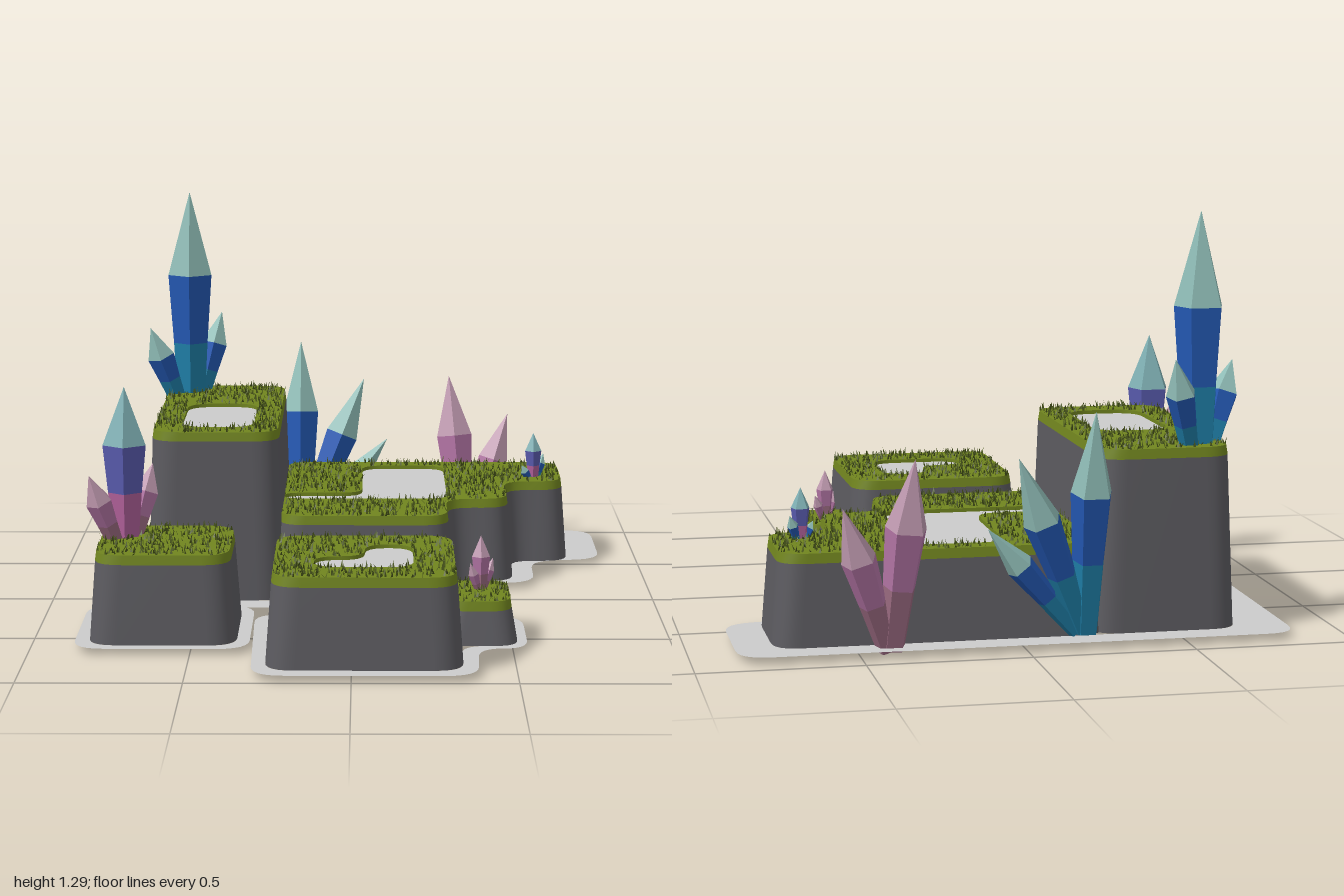
import * as THREE from 'three';

const mat = (color, extra = {}) => new THREE.MeshStandardMaterial({ color, side: THREE.DoubleSide, ...extra });
const ROCK = mat(0x5c5b60), GRASS = mat(0x71851f), BLADE = mat(0x4c5a1c), GREY = mat(0xcccccc);
const BLUE = [0x1f7fa8, 0x2459b4, 0x8fbcb6];
const PINK = [0x9a6a80, 0xb274a4, 0xc09ab0];
const MIXED = [0xb0609a, 0x5a5cb0, 0x7fb0b4];
const GROUND = 0.02;

let seed = 7;
const rnd = () => (seed = (seed * 16807) % 2147483647) / 2147483647;

const rect = (x0, z0, x1, z1) => [[x0, z0], [x1, z0], [x1, z1], [x0, z1]];

// Moves every corner of an outline inwards by d
function inset(c, d) {
  const n = c.length;
  return c.map(([x, z], i) => {
    const a = c[(i + n - 1) % n], b = c[(i + 1) % n];
    const l1 = Math.hypot(x - a[0], z - a[1]), l2 = Math.hypot(b[0] - x, b[1] - z);
    const n1 = [-(z - a[1]) / l1, (x - a[0]) / l1], n2 = [-(b[1] - z) / l2, (b[0] - x) / l2];
    const k = d / (1 + n1[0] * n2[0] + n1[1] * n2[1]);
    return [x + (n1[0] + n2[0]) * k, z + (n1[1] + n2[1]) * k];
  });
}

// Rounds the corners of an outline with short curves
function rounded(c, r, steps = 6) {
  const out = [], n = c.length;
  c.forEach((p, i) => {
    const P = new THREE.Vector2(...p);
    const toward = q => {
      const v = new THREE.Vector2(...q).sub(P);
      return P.clone().addScaledVector(v.clone().normalize(), Math.min(r, v.length() * 0.49));
    };
    const curve = new THREE.QuadraticBezierCurve(toward(c[(i + n - 1) % n]), P, toward(c[(i + 1) % n]));
    curve.getPoints(steps).forEach(q => out.push([q.x, q.y]));
  });
  return out;
}

// Flat sheet at height y, with optional holes
function sheet(outline, holes, y) {
  const v = pts => pts.map(([x, z]) => new THREE.Vector2(x, -z));
  const shape = new THREE.Shape(v(outline));
  holes.forEach(h => shape.holes.push(new THREE.Path(v(h))));
  return new THREE.ShapeGeometry(shape).rotateX(-Math.PI / 2).translate(0, y, 0);
}

// Wall between two outlines with equal point counts
function wall(low, y0, high, y1) {
  const pos = [], idx = [], n = low.length;
  for (let i = 0; i < n; i++) {
    pos.push(low[i][0], y0, low[i][1], high[i][0], y1, high[i][1]);
    const a = 2 * i, b = 2 * ((i + 1) % n);
    idx.push(a, a + 1, b, b, a + 1, b + 1);
  }
  const g = new THREE.BufferGeometry();
  g.setAttribute('position', new THREE.Float32BufferAttribute(pos, 3));
  g.setIndex(idx);
  g.computeVertexNormals();
  return g;
}

function inside(x, z, poly) {
  let hit = false;
  poly.forEach(([ax, az], i) => {
    const [bx, bz] = poly[(i + 1) % poly.length];
    if ((az > z) !== (bz > z) && x < ((bx - ax) * (z - az)) / (bz - az) + ax) hit = !hit;
  });
  return hit;
}

// Small leaning triangular blades scattered over the grass
function blades(outline, holes, y) {
  const xs = outline.map(p => p[0]), zs = outline.map(p => p[1]);
  const x0 = Math.min(...xs), z0 = Math.min(...zs);
  const w = Math.max(...xs) - x0, d = Math.max(...zs) - z0, pos = [];
  for (let i = 0; i < w * d * 2600; i++) {
    const x = x0 + rnd() * w, z = z0 + rnd() * d, t = rnd() * Math.PI * 2;
    const h = 0.01 + rnd() * 0.015, lean = rnd() * 0.012;
    if (!inside(x, z, outline) || holes.some(o => inside(x, z, o))) continue;
    const c = Math.cos(t) * 0.004, s = Math.sin(t) * 0.004;
    pos.push(x - c, y, z - s, x + c, y, z + s, x - s / 0.004 * lean, y + h, z + c / 0.004 * lean);
  }
  const g = new THREE.BufferGeometry();
  g.setAttribute('position', new THREE.Float32BufferAttribute(pos, 3));
  g.computeVertexNormals();
  return g;
}

function add(group, name, geometry, material) {
  const m = new THREE.Mesh(geometry, material);
  m.name = name;
  group.add(m);
}

// Hollow tapered rock with a grass cap and an optional sunken pool
function rock(name, corners, top, r, pool, poolR) {
  const g = new THREE.Group();
  g.name = name;
  const base = rounded(corners, r), mid = rounded(inset(corners, 0.018), r), cap = rounded(inset(corners, 0.022), r);
  const holes = pool ? [rounded(pool, poolR)] : [];
  add(g, 'rockWall', wall(base, GROUND, mid, top - 0.03), ROCK);
  add(g, 'grassEdge', wall(mid, top - 0.03, cap, top), GRASS);
  add(g, 'grassTop', sheet(cap, holes, top), GRASS);
  add(g, 'grassBlades', blades(cap, holes, top), BLADE);
  if (pool) {
    add(g, 'poolEdge', wall(holes[0], top - 0.012, holes[0], top), GRASS);
    add(g, 'poolSurface', sheet(holes[0], [], top - 0.012), GREY);
  }
  return g;
}

// Five-sided crystal from base to tip: flaring shaft in two bands and a pointed end
function crystal(base, tip, r, colors) {
  const g = new THREE.Group();
  g.name = 'crystal';
  const dir = new THREE.Vector3(...tip).sub(new THREE.Vector3(...base)), L = dir.length();
  const bands = [[[0, 0], [r * 0.6, 0.02 * L], [r * 0.78, 0.34 * L]],
    [[r * 0.78, 0.34 * L], [r, 0.64 * L]], [[r, 0.64 * L], [0, L]]];
  bands.forEach((b, i) => {
    const geo = new THREE.LatheGeometry(b.map(p => new THREE.Vector2(...p)), 5);
    add(g, ['crystalBase', 'crystalShaft', 'crystalTip'][i], geo, mat(colors[i], { flatShading: true }));
  });
  g.position.set(...base);
  g.quaternion.setFromUnitVectors(new THREE.Vector3(0, 1, 0), dir.normalize());
  return g;
}

function cluster(name, colors, list) {
  const g = new THREE.Group();
  g.name = name;
  list.forEach(([base, tip, r, c]) => g.add(crystal(base, tip, r, c || colors)));
  return g;
}

export function createModel() {
  const model = new THREE.Group();
  model.name = 'crystalIslands';

  // Rock outlines at ground level
  const high = rect(-0.68, -0.845, -0.225, 0.1);
  const low = [[-0.26, -0.845], [0.75, -0.845], [0.75, -0.46], [0.545, -0.46],
    [0.545, -0.17], [0.335, -0.17], [0.335, 0.1], [-0.26, 0.1]];
  const whole = [[-0.68, -0.845], ...low.slice(1, 7), [-0.68, 0.1]];
  const side = rect(-0.818, 0.2, -0.358, 0.66);
  const centre = rect(-0.26, 0.338, 0.338, 0.94);
  const step = rect(0.27, 0.345, 0.515, 0.66);
  const pair = [[-0.26, 0.338], [0.515, 0.338], [0.515, 0.66], [0.338, 0.66], [0.338, 0.94], [-0.26, 0.94]];

  model.add(
    rock('highRock', high, 0.58, 0.09, rect(-0.57, -0.455, -0.33, -0.015), 0.09),
    rock('lowRock', low, 0.3, 0.085, [[0.03, -0.755], [0.32, -0.755], [0.32, -0.195],
      [-0.236, -0.195], [-0.236, -0.29], [0.03, -0.29]], 0.07),
    rock('sideRock', side, 0.3, 0.09),
    rock('centreRock', centre, 0.3, 0.09, [[0.04, 0.485], [0.19, 0.485], [0.19, 0.785],
      [-0.115, 0.785], [-0.115, 0.645], [0.04, 0.645]], 0.08),
    rock('stepRock', step, 0.155, 0.07));

  // Flat shore rings around the rocks
  const shores = [
    [[[-0.838, -0.938], [0.865, -0.938], [0.865, -0.487], [0.62, -0.46], [0.615, -0.15],
      [0.4, -0.13], [0.36, 0.195], [-0.838, 0.195]], whole],
    [rect(-0.862, 0.172, -0.318, 0.7), side],
    [[[-0.315, 0.28], [0.36, 0.28], [0.545, 0.31], [0.545, 0.69], [0.39, 0.69], [0.38, 0.995], [-0.3, 0.995]], pair]];
  shores.forEach(([outer, inner], i) =>
    add(model, 'shore' + (i + 1), sheet(rounded(outer, 0.1), [rounded(inner, 0.085)], GROUND), GREY));

  // Crystals
  model.add(
    cluster('tallCrystals', BLUE, [
      [[-0.58, 0.48, -0.72], [-0.58, 1.29, -0.72], 0.08],
      [[-0.62, 0.54, -0.69], [-0.715, 0.82, -0.62], 0.05],
      [[-0.55, 0.54, -0.75], [-0.475, 0.85, -0.825], 0.048]]),
    cluster('sideCrystals', PINK, [
      [[-0.72, 0.27, 0.365], [-0.72, 0.78, 0.365], 0.072, MIXED],
      [[-0.745, 0.27, 0.39], [-0.825, 0.515, 0.47], 0.043],
      [[-0.7, 0.27, 0.34], [-0.64, 0.515, 0.265], 0.043]]),
    cluster('backBlueCrystals', BLUE, [
      [[-0.195, 0.02, -0.85], [-0.195, 0.72, -0.965], 0.066],
      [[-0.19, 0.03, -0.85], [0.035, 0.585, -0.95], 0.06],
      [[-0.17, 0.03, -0.85], [0.12, 0.37, -0.91], 0.045]]),
    cluster('backPinkCrystals', PINK, [
      [[0.4, 0, -0.86], [0.345, 0.595, -0.955], 0.066],
      [[0.41, 0, -0.86], [0.56, 0.455, -0.95], 0.056]]),
    cluster('stepCrystals', PINK, [
      [[0.405, 0.14, 0.465], [0.405, 0.325, 0.465], 0.03],
      [[0.4, 0.14, 0.47], [0.37, 0.245, 0.505], 0.017],
      [[0.41, 0.14, 0.46], [0.445, 0.245, 0.43], 0.017]]),
    cluster('smallCrystals', BLUE, [
      [[0.632, 0.28, -0.575], [0.632, 0.455, -0.575], 0.03, MIXED],
      [[0.625, 0.28, -0.57], [0.59, 0.345, -0.545], 0.016],
      [[0.64, 0.28, -0.58], [0.67, 0.375, -0.61], 0.018]]));

  return model;
}
